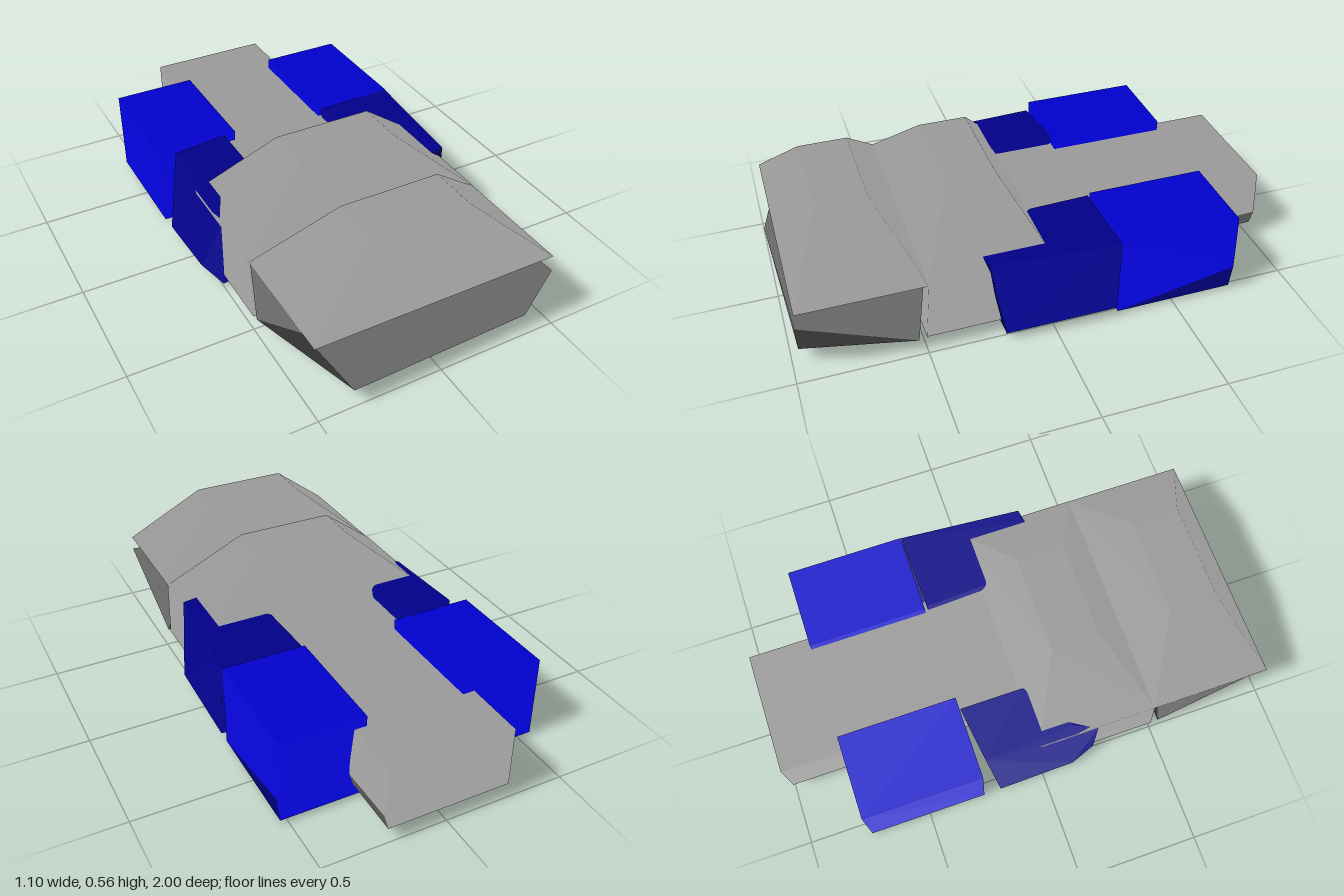
import * as THREE from 'three';
import { ConvexGeometry } from 'three/addons/geometries/ConvexGeometry.js';

export function createModel() {
  const model = new THREE.Group();
  const mat = (color) => new THREE.MeshStandardMaterial({ color });
  const grey = mat(0x999999), darkGrey = mat(0x666666);
  const blue = mat(0x0000cc), darkBlue = mat(0x000088);

  const add = (name, geometry, material) => {
    const mesh = new THREE.Mesh(geometry, material);
    mesh.name = name;
    model.add(mesh);
    return mesh;
  };
  // Solid spanned by its corner points, its normals bent upward for soft, even shading
  const solid = (name, corners, material) => {
    const geometry = new ConvexGeometry(corners.map((c) => new THREE.Vector3(...c)));
    const normals = geometry.attributes.normal;
    const n = new THREE.Vector3();
    for (let i = 0; i < normals.count; i++) {
      n.fromBufferAttribute(normals, i).multiplyScalar(0.12);
      n.y += 1;
      n.normalize();
      normals.setXYZ(i, n.x, n.y, n.z);
    }
    return add(name, geometry, material);
  };
  // Four corners of a level rectangle
  const rect = (x0, x1, y, z0, z1) => [[x0, y, z0], [x1, y, z0], [x1, y, z1], [x0, y, z1]];

  // Long rear body with a slight bulge low on its left side
  solid('rearBody', [
    ...rect(-0.26, 0.24, 0.32, -1, 0.1), ...rect(-0.26, 0.24, 0.07, -1, 0.1),
    [0.26, 0.14, -1], [0.25, 0.15, -0.7],
  ], grey);

  // Middle hull and front block
  solid('middleHull', [
    ...rect(-0.5, 0.48, 0.32, 0, 0.48), ...rect(-0.5, 0.48, 0.07, 0, 0.5),
  ], grey);
  solid('frontBlock', [
    [-0.5, 0.315, 0.88], [0.48, 0.255, 0.975], [0.43, 0.28, 0.49], [-0.5, 0.315, 0.49], [0.17, 0.315, 0.49],
    [-0.36, 0.085, 1], [0.39, 0.07, 0.97], [0.48, 0.06, 0.53], [-0.5, 0.08, 0.53],
  ], darkGrey);

  // Two sloped roofs
  for (const [name, z] of [['middleRoof', -0.01], ['frontRoof', 0.48]]) {
    solid(name, [
      ...rect(-0.5, 0.48, 0.318, z, z + 0.49),
      ...rect(-0.21, 0.19, 0.563, z + 0.145, z + 0.34),
    ], grey);
  }

  // Rear side boxes
  solid('rightRearBox', [
    ...rect(-0.55, -0.21, 0.363, -0.75, -0.262), ...rect(-0.55, -0.21, 0.02, -0.75, -0.262),
    [-0.21, 0.005, -0.7],
  ], blue);
  solid('leftRearBox', [
    ...rect(0.19, 0.53, 0.363, -0.75, -0.262), ...rect(0.19, 0.53, 0.02, -0.75, -0.262),
    [0.545, 0.13, -0.75],
  ], blue);

  // Skewed front side boxes
  solid('rightFrontBox', [
    [-0.49, 0.36, -0.23], [-0.26, 0.36, -0.26], [-0.26, 0.36, 0], [-0.47, 0.36, 0.14], [-0.5, 0.31, 0.24],
    [-0.55, 0.03, -0.19], [-0.55, 0.06, 0.13], [-0.505, 0.03, 0.24],
    [-0.21, 0.005, -0.2], [-0.26, 0.03, 0.2],
  ], darkBlue);
  solid('leftFrontBox', [
    [0.2, 0.36, -0.25], [0.53, 0.36, -0.26], [0.49, 0.36, 0.25], [0.43, 0.36, 0.26], [0.21, 0.36, 0],
    [0.19, 0.02, -0.24], [0.545, 0.055, -0.25], [0.53, 0.04, 0.2], [0.22, 0.03, 0.2],
  ], darkBlue);

  // Small feet in pairs under the hull
  for (const z of [0.86, 0.36, -0.38, -0.87]) {
    for (const x of [-0.132, 0.113]) {
      add('foot', new THREE.BoxGeometry(0.098, 0.04, 0.098), grey).position.set(x, 0.065, z);
    }
  }
  return model;
}
